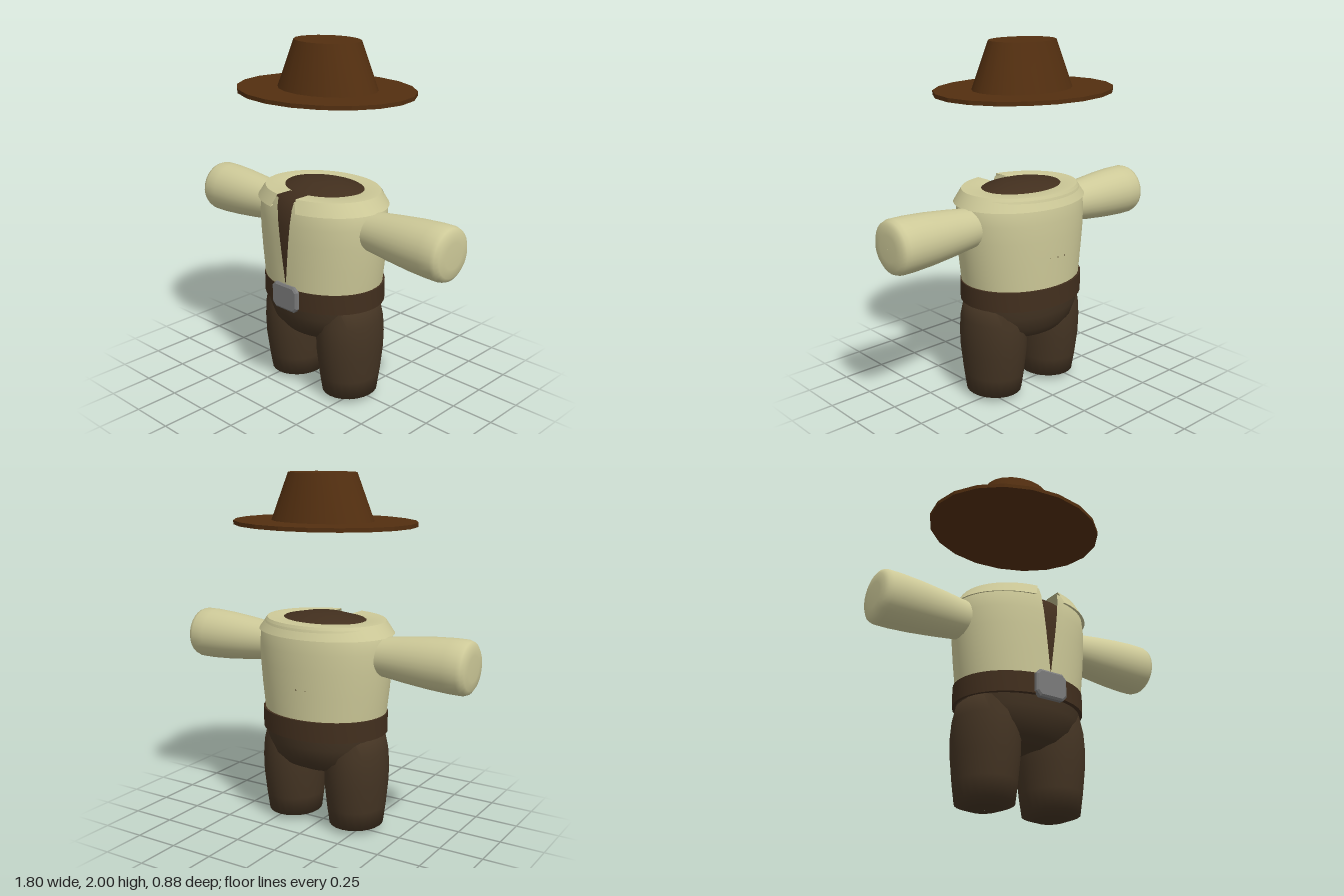
import * as THREE from 'three';
import { toCreasedNormals } from 'three/addons/utils/BufferGeometryUtils.js';

const material = (name, color, side = THREE.FrontSide) =>
  new THREE.MeshStandardMaterial({ name, color, side });

// Elliptical lathe from rings [rx, rz, y]; gap(y) is the half width left open at the front.
function loft(rings, segments = 32, gap = null, crease = 0.7) {
  const geo = new THREE.LatheGeometry(rings.map(([rx, , y]) => new THREE.Vector2(rx, y)), segments);
  const pos = geo.attributes.position;
  for (let i = 0; i <= segments; i++) {
    rings.forEach(([rx, rz, y], j) => {
      const open = gap ? Math.asin(Math.min(1, gap(y) / rx)) : 0;
      const a = open + (i / segments) * (2 * Math.PI - 2 * open);
      pos.setXYZ(i * rings.length + j, rx * Math.sin(a), y, rz * Math.cos(a));
    });
  }
  return toCreasedNormals(geo, crease);
}

export function createModel() {
  const group = new THREE.Group();
  const felt = material('hat brown', 0x532f10);
  const cream = material('shirt cream', 0xcdc998, THREE.DoubleSide);
  const trouser = material('trouser brown', 0x443423);
  const leather = material('belt brown', 0x422f1e);
  const metal = material('buckle grey', 0x7a7a7a);

  const add = (name, geo, mat, x = 0, y = 0, z = 0) => {
    const mesh = new THREE.Mesh(geo, mat);
    mesh.name = name;
    mesh.position.set(x, y, z);
    group.add(mesh);
    return mesh;
  };

  // Hat: polygonal brim and tapered crown
  add('hatBrim', loft([
    [0.001, 0.001, 1.72], [0.526, 0.44, 1.72], [0.526, 0.44, 1.742], [0.001, 0.001, 1.742],
  ], 20, null, 0.2), felt, -0.008);
  add('hatCrown', loft([
    [0.3, 0.238, 1.74], [0.2, 0.158, 2], [0.001, 0.001, 2],
  ], 20), felt, 0.006);

  // Dark body under the shirt, domed at the neck
  add('innerTorso', loft([
    [0.34, 0.285, 0.6], [0.36, 0.295, 0.85], [0.365, 0.29, 1.02], [0.345, 0.27, 1.11],
    [0.3, 0.235, 1.165], [0.24, 0.175, 1.205], [0.11, 0.085, 1.232], [0.001, 0.001, 1.235],
  ], 40, null, 1.2), leather, 0, 0, 0.015);

  // Shirt open in a narrow V down the front
  add('shirt', loft([
    [0.355, 0.297, 0.62], [0.365, 0.3, 0.7], [0.38, 0.304, 0.82], [0.392, 0.308, 0.95],
    [0.397, 0.308, 1.05], [0.388, 0.302, 1.14], [0.36, 0.29, 1.185],
  ], 48, (y) => 0.062 * THREE.MathUtils.clamp((y - 0.69) / 0.51, 0, 1)), cream, 0, 0, 0.025);

  // Collar with pointed front corners and a flat rim around the neck
  add('collar', loft([
    [0.37, 0.29, 1.14], [0.403, 0.318, 1.13], [0.352, 0.285, 1.2], [0.24, 0.19, 1.2], [0.19, 0.14, 1.18],
  ], 48, (y) => THREE.MathUtils.mapLinear(y, 1.13, 1.2, 0.095, 0.068)), cream, 0, 0, 0.03);

  // Belt and bevelled buckle
  add('belt', loft([
    [0.3, 0.25, 0.567], [0.372, 0.307, 0.567], [0.372, 0.307, 0.68], [0.3, 0.25, 0.68],
  ], 40), leather, 0, 0, 0.02);

  const w = 0.085, h = 0.064, c = 0.02;
  const plate = new THREE.Shape([
    [-w + c, -h], [w - c, -h], [w, -h + c], [w, h - c],
    [w - c, h], [-w + c, h], [-w, h - c], [-w, -h + c],
  ].map(([x, y]) => new THREE.Vector2(x, y)));
  add('buckle', new THREE.ExtrudeGeometry(plate, {
    depth: 0.025, bevelEnabled: true, bevelThickness: 0.008, bevelSize: 0.011, bevelSegments: 1,
  }), metal, -0.002, 0.625, 0.307);

  // Trousers: rounded seat
  add('trouserSeat', loft([
    [0.001, 0.001, 0.33], [0.15, 0.13, 0.34], [0.26, 0.205, 0.375], [0.325, 0.25, 0.43],
    [0.352, 0.276, 0.51], [0.358, 0.283, 0.6],
  ], 40, null, 1.2), trouser, 0, 0, 0.02);

  const legGeo = loft([
    [0.001, 0.001, 0], [0.08, 0.09, 0.006], [0.152, 0.165, 0.032], [0.164, 0.185, 0.14],
    [0.175, 0.206, 0.28], [0.177, 0.21, 0.38], [0.168, 0.208, 0.47], [0.145, 0.19, 0.57], [0.001, 0.001, 0.6],
  ], 24, null, 1.2);

  // Sleeves widen outward and end in a rounded cap
  const sleeveGeo = loft([
    [0.104, 0.3], [0.112, 0.4], [0.127, 0.52], [0.141, 0.66], [0.148, 0.78], [0.148, 0.855],
    [0.14, 0.878], [0.118, 0.893], [0.07, 0.897], [0.001, 0.898],
  ].map(([r, y]) => [r, r, y]), 28, null, 1.2);

  for (const [side, s] of [['left', 1], ['right', -1]]) {
    add(side + 'TrouserLeg', legGeo, trouser, s * 0.208, 0, 0.025);
    add(side + 'Sleeve', sleeveGeo, cream, 0, 1.022, 0.025).rotation.z = -s * Math.PI / 2;
  }
  return group;
}
